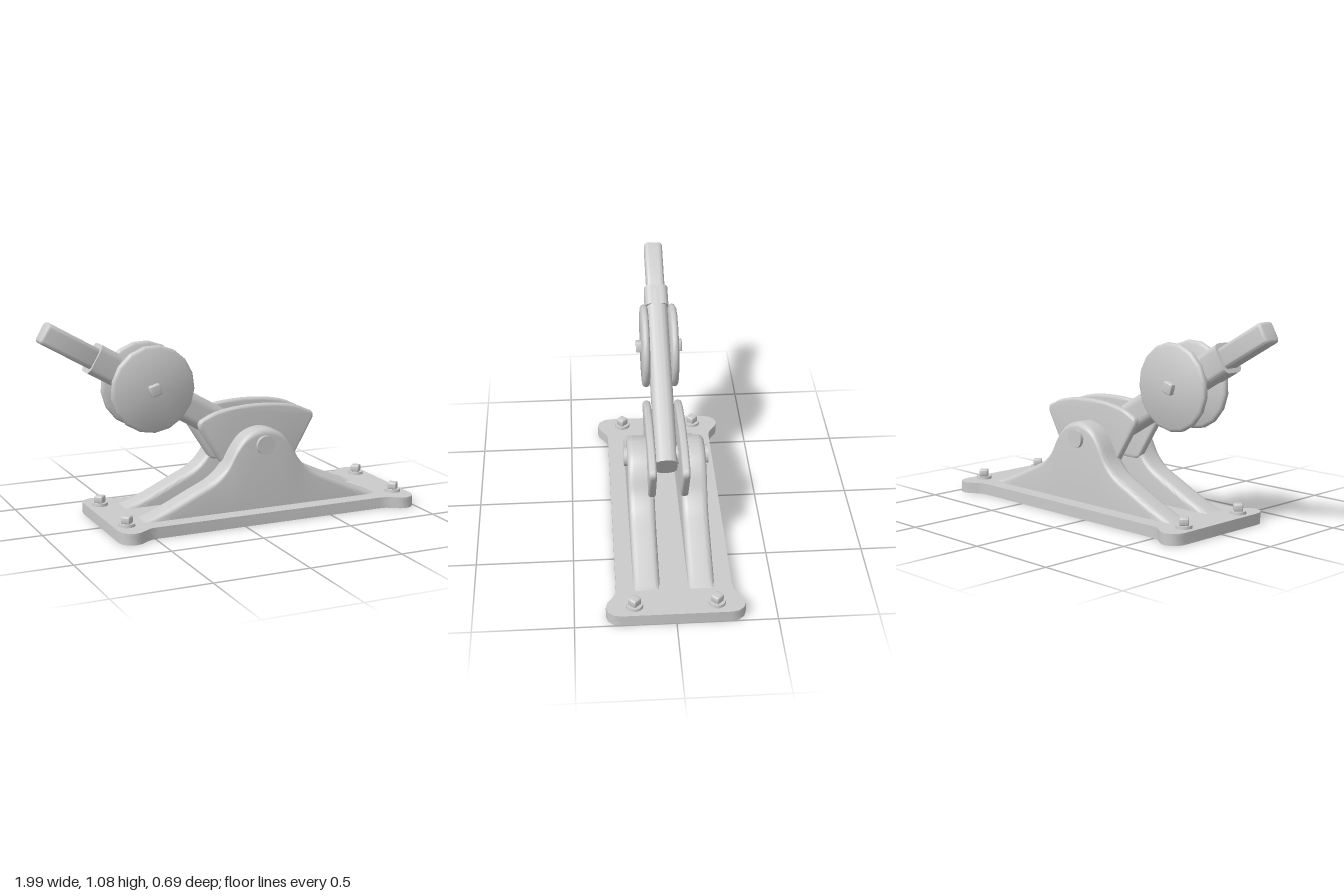
import * as THREE from 'three';
import { toCreasedNormals } from 'three/addons/utils/BufferGeometryUtils.js';

const grey = new THREE.MeshStandardMaterial({ color: 0xcccccc });
const greyDouble = new THREE.MeshStandardMaterial({ color: 0xcccccc, side: THREE.DoubleSide });
const PLATE_TOP = 0.06, BASE_X = 0.155, PIVOT = { x: 0.15, y: 0.39 };

function add(parent, name, geometry, x = 0, y = 0, z = 0, material = grey) {
  const mesh = new THREE.Mesh(geometry, material);
  mesh.name = name;
  mesh.position.set(x, y, z);
  parent.add(mesh);
  return mesh;
}

// Extrude centred on its depth; the bevel stays inside the given depth
function slab(shape, depth, bevel = 0, curveSegments = 6) {
  const g = new THREE.ExtrudeGeometry(shape, {
    depth: depth - 2 * bevel, bevelEnabled: bevel > 0, bevelSize: bevel, bevelOffset: -bevel,
    bevelThickness: bevel, bevelSegments: 3, curveSegments,
  });
  g.translate(0, 0, bevel - depth / 2);
  return toCreasedNormals(g, 0.6);
}

function roundedRect(hw, hh, r) {
  const s = new THREE.Shape();
  s.absarc(hw - r, hh - r, r, 0, Math.PI / 2);
  s.absarc(r - hw, hh - r, r, Math.PI / 2, Math.PI);
  s.absarc(r - hw, r - hh, r, Math.PI, Math.PI * 1.5);
  s.absarc(hw - r, r - hh, r, Math.PI * 1.5, Math.PI * 2);
  return s;
}

// Base outline with four bulging ears, drawn inward by d
function baseOutline(d) {
  const quarter = [
    [0.845 - d, 0], [0.845 - d, 0.27], [0.838 - d, 0.305 - d], [0.815 - d, 0.333 - d],
    [0.78 - d / 2, 0.345 - d], [0.745, 0.337 - d], [0.71, 0.312 - d], [0.68, 0.295 - d], [0.64, 0.29 - d],
  ];
  const half = [...quarter, ...quarter.slice().reverse().map(([x, z]) => [-x, z])];
  const all = [...half, ...half.slice(1, -1).reverse().map(([x, z]) => [x, -z])];
  return new THREE.Shape(all.map(([x, z]) => new THREE.Vector2(x, z)));
}

// Hollow bracket: an upside-down U section swept along x under a bell-shaped height curve
function bracketGeometry() {
  const bell = new THREE.SplineCurve([
    [-0.67, 0.06], [-0.53, 0.118], [-0.4, 0.178], [-0.28, 0.235], [-0.21, 0.3], [-0.16, 0.385],
    [-0.11, 0.445], [-0.055, 0.475], [0, 0.485],
  ].map(p => new THREE.Vector2(...p))).getPoints(32);
  const path = [...bell, ...bell.slice(0, -1).reverse().map(p => new THREE.Vector2(-p.x, p.y))];
  const inner = 0.07, outer = 0.203, floor = 0.045, steps = 5;
  const pos = [], index = [];
  let n = 0;
  for (const p of path) {
    const r = Math.min(0.032, p.y - floor);
    const row = [[outer, floor]];
    for (let i = 0; i <= steps; i++) {
      const a = (i / steps) * Math.PI / 2;
      row.push([outer - r + r * Math.cos(a), p.y - r + r * Math.sin(a)]);
    }
    for (let i = 0; i <= steps; i++) {
      const a = (1 + i / steps) * Math.PI / 2;
      row.push([inner + r + r * Math.cos(a), p.y - r + r * Math.sin(a)]);
    }
    row.push([inner, floor]);
    n = row.length;
    row.forEach(([z, y]) => pos.push(p.x, y, z));
  }
  for (let j = 0; j < path.length - 1; j++) {
    for (let i = 0; i < n - 1; i++) {
      const a = j * n + i, b = a + n;
      index.push(a, b, a + 1, b, b + 1, a + 1);
    }
  }
  const g = new THREE.BufferGeometry();
  g.setAttribute('position', new THREE.Float32BufferAttribute(pos, 3));
  g.setIndex(index);
  return toCreasedNormals(g, 0.7);
}

function buildBase() {
  const base = new THREE.Group();
  base.name = 'base';

  // Rim around the open underside
  const rim = baseOutline(0);
  rim.holes.push(baseOutline(0.025));
  add(base, 'baseRim', slab(rim, 0.046).rotateX(-Math.PI / 2), BASE_X, 0.023, 0);

  // Top plate, opened under the two hollow brackets
  const plate = baseOutline(0);
  for (const s of [1, -1]) {
    plate.holes.push(new THREE.Path([[-0.65, 0.075], [0.65, 0.075], [0.65, 0.198], [-0.65, 0.198]]
      .map(([x, z]) => new THREE.Vector2(x, s * z))));
  }
  add(base, 'basePlate', slab(plate, 0.016).rotateX(-Math.PI / 2), BASE_X, PLATE_TOP - 0.008, 0);

  const bracket = bracketGeometry();
  for (const s of [1, -1]) {
    add(base, s > 0 ? 'frontBracket' : 'backBracket', bracket, PIVOT.x, 0, 0, greyDouble).scale.z = s;
  }

  // Corner screws: washer, square head and its flush end below
  const washer = new THREE.CylinderGeometry(0.041, 0.043, 0.015, 14);
  const head = slab(roundedRect(0.024, 0.024, 0.006), 0.04, 0.007, 2).rotateX(-Math.PI / 2).rotateY(Math.PI / 4);
  const end = new THREE.CylinderGeometry(0.036, 0.036, 0.008, 14);
  for (const x of [-0.62, 0.93]) {
    for (const z of [-0.203, 0.203]) {
      const screw = new THREE.Group();
      screw.name = 'cornerScrew';
      screw.position.set(x, PLATE_TOP, z);
      add(screw, 'screwWasher', washer, 0, 0.0075, 0);
      add(screw, 'screwHead', head, 0, 0.032, 0);
      add(screw, 'screwEnd', end, 0, -0.018, 0);
      base.add(screw);
    }
  }
  return base;
}

// Fan-shaped side plate with a curved top, tapering to the pivot
function fanShape() {
  const s = new THREE.Shape();
  s.moveTo(-0.2, -0.095);
  s.lineTo(-0.322, 0.095);
  s.quadraticCurveTo(-0.338, 0.138, -0.3, 0.152);
  s.bezierCurveTo(-0.19, 0.225, 0.19, 0.225, 0.3, 0.152);
  s.quadraticCurveTo(0.352, 0.138, 0.33, 0.095);
  s.lineTo(0.22, -0.095);
  s.quadraticCurveTo(0.2, -0.115, 0.17, -0.115);
  s.lineTo(-0.15, -0.115);
  s.quadraticCurveTo(-0.19, -0.115, -0.2, -0.095);
  return s;
}

// Rounded bar lying along x, from x0 to x1
function bar(x0, x1, halfY, halfZ, r, bevel = 0) {
  return slab(roundedRect(halfZ, halfY, r), x1 - x0, bevel).rotateY(Math.PI / 2).translate((x0 + x1) / 2, 0, 0);
}

function buildArm() {
  const arm = new THREE.Group();
  arm.name = 'arm';
  arm.position.set(PIVOT.x, PIVOT.y, 0);
  arm.rotation.z = Math.PI * 5 / 6;
  add(arm, 'armShaft', bar(-0.06, 0.96, 0.08, 0.058, 0.045));
  add(arm, 'armCollar', bar(0.88, 1.0, 0.08, 0.064, 0.035));
  add(arm, 'armTip', bar(0.98, 1.295, 0.056, 0.05, 0.022, 0.016));

  // Low-sided discs clamped on either side, each with a square bolt head
  const profile = [[0, -0.02], [0.21, -0.02], [0.222, -0.013], [0.227, -0.003], [0.227, 0.003],
    [0.222, 0.013], [0.21, 0.02], [0, 0.02]].map(p => new THREE.Vector2(...p));
  const disc = toCreasedNormals(new THREE.LatheGeometry(profile, 17).rotateX(Math.PI / 2), 0.6);
  const bolt = slab(roundedRect(0.029, 0.029, 0.006), 0.05, 0.006, 2);
  for (const s of [1, -1]) {
    add(arm, 'disc', disc, 0.66, 0, s * 0.077);
    add(arm, 'discBolt', bolt, 0.66, 0, s * 0.1).rotation.z = 0.8;
  }
  return arm;
}

export function createModel() {
  const model = new THREE.Group();
  model.name = 'leverMount';
  model.add(buildBase(), buildArm());

  // Fan plates either side of the arm
  const fan = slab(fanShape(), 0.04, 0.014, 12);
  for (const s of [1, -1]) add(model, 'fanPlate', fan, PIVOT.x, PIVOT.y, s * 0.084);

  // Pivot pin through both brackets
  const pin = new THREE.CylinderGeometry(0.05, 0.05, 0.442, 24).rotateX(Math.PI / 2);
  add(model, 'pivotPin', pin, 0.15, 0.4, 0);
  return model;
}
